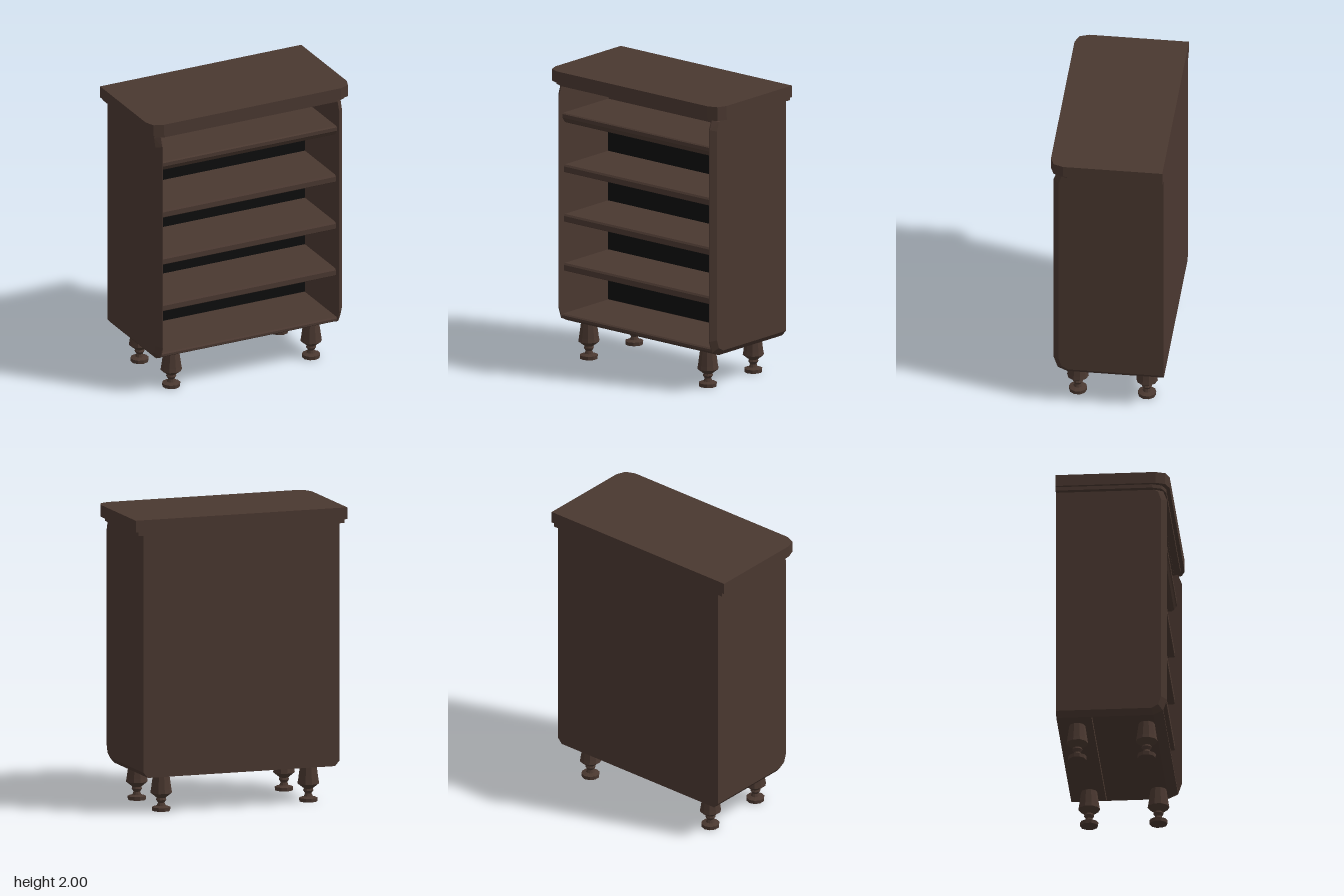
import * as THREE from 'three';
import { ConvexGeometry } from 'three/addons/geometries/ConvexGeometry.js';

const BACK = -0.38;
const INNER = 0.66;
const RECESS = -0.14;

export function createModel() {
  const wood = new THREE.MeshStandardMaterial({ color: 0x4a3830 });
  wood.name = 'dark wood';
  const lining = new THREE.MeshStandardMaterial({ color: 0x0e0e0e });
  lining.name = 'black lining';

  const group = new THREE.Group();
  group.name = 'bookcase';

  function add(name, geometry, material = wood, x = 0, y = 0, z = 0) {
    const mesh = new THREE.Mesh(geometry, material);
    mesh.name = name;
    mesh.position.set(x, y, z);
    group.add(mesh);
    return mesh;
  }

  // Box given by its extents in y and z, centred on x = 0
  function slab(name, width, y0, y1, z0, z1, material = wood) {
    return add(name, new THREE.BoxGeometry(width, y1 - y0, z1 - z0), material, 0, (y0 + y1) / 2, (z0 + z1) / 2);
  }

  // Horizontal board with clipped front corners
  function board(name, halfWidth, front, y0, y1) {
    const outline = [
      [-halfWidth, BACK], [halfWidth, BACK],
      [halfWidth, front - 0.09], [halfWidth - 0.025, front - 0.025], [halfWidth - 0.09, front],
      [-halfWidth + 0.09, front], [-halfWidth + 0.025, front - 0.025], [-halfWidth, front - 0.09],
    ];
    const shape = new THREE.Shape(outline.map(([x, z]) => new THREE.Vector2(x, -z)));
    const geometry = new THREE.ExtrudeGeometry(shape, { depth: y1 - y0, bevelEnabled: false });
    geometry.rotateX(-Math.PI / 2);
    add(name, geometry, wood, 0, y0, 0);
  }

  // Rail with a [z, y] cross-section running between the sides
  function rail(name, section) {
    const shape = new THREE.Shape(section.map(([z, y]) => new THREE.Vector2(-z, y)));
    const geometry = new THREE.ExtrudeGeometry(shape, { depth: INNER * 2, bevelEnabled: false });
    geometry.translate(0, 0, -INNER);
    geometry.rotateY(Math.PI / 2);
    add(name, geometry);
  }

  // Worktop and the moulding under it
  board('top', 0.755, 0.38, 1.92, 2);
  board('topMoulding', 0.735, 0.355, 1.895, 1.92);

  // Side panels: full outline inside, bevelled to a smaller outline outside
  const full = [
    [BACK, 0.25], [0.27, 0.25], [0.335, 0.28], [0.362, 0.36],
    [0.362, 1.83], [0.335, 1.9], [BACK, 1.9],
  ];
  const inset = [
    [BACK, 0.287], [0.26, 0.287], [0.305, 0.312], [0.325, 0.37],
    [0.325, 1.82], [0.305, 1.88], [0.27, 1.9], [BACK, 1.9],
  ];
  for (const side of [-1, 1]) {
    const points = [];
    for (const [z, y] of full) {
      points.push(new THREE.Vector3(side * INNER, y, z), new THREE.Vector3(side * 0.667, y, z));
    }
    for (const [z, y] of inset) points.push(new THREE.Vector3(side * 0.7, y, z));
    add(side > 0 ? 'leftSide' : 'rightSide', new ConvexGeometry(points));
  }

  // Back, with the black lining inside
  slab('back', INNER * 2, 0.25, 1.9, BACK, RECESS - 0.005);
  slab('backLining', INNER * 2, 0.31, 1.63, RECESS - 0.005, RECESS, lining);

  // Bottom board with a sloping front edge
  rail('bottomBoard', [
    [RECESS, 0.25], [0.27, 0.25], [0.335, 0.285], [0.335, 0.3], [0.325, 0.308], [RECESS, 0.308],
  ]);

  // Shelves with eased front edges
  for (const y of [0.604, 0.944, 1.288]) {
    rail('shelf', [
      [RECESS, y], [0.31, y], [0.315, y + 0.005], [0.315, y + 0.04], [0.305, y + 0.052], [RECESS, y + 0.052],
    ]);
  }

  // Upper shelf with a moulded nose
  rail('upperShelf', [
    [RECESS, 1.628], [0.29, 1.628], [0.31, 1.64], [0.322, 1.66],
    [0.33, 1.67], [0.33, 1.695], [0.32, 1.702], [RECESS, 1.702],
  ]);

  // Upper compartment: raised back panel and sloping ceiling
  slab('upperPanel', 1.29, 1.72, 1.865, RECESS - 0.006, RECESS + 0.01);
  rail('ceiling', [[RECESS - 0.01, 1.862], [0.31, 1.892], [0.31, 1.9], [RECESS - 0.01, 1.9]]);

  // Turned legs
  const legProfile = [
    [0, 0], [0.06, 0], [0.062, 0.025], [0.03, 0.035], [0.022, 0.055], [0.035, 0.075],
    [0.03, 0.088], [0.073, 0.122], [0.068, 0.15], [0.054, 0.252],
  ].map(([r, y]) => new THREE.Vector2(r, y));
  const legGeometry = new THREE.LatheGeometry(legProfile, 10).toNonIndexed();
  legGeometry.computeVertexNormals();
  for (const x of [-0.525, 0.525]) {
    for (const z of [-0.25, 0.215]) add(z > 0 ? 'frontLeg' : 'backLeg', legGeometry, wood, x, 0, z);
  }

  return group;
}
